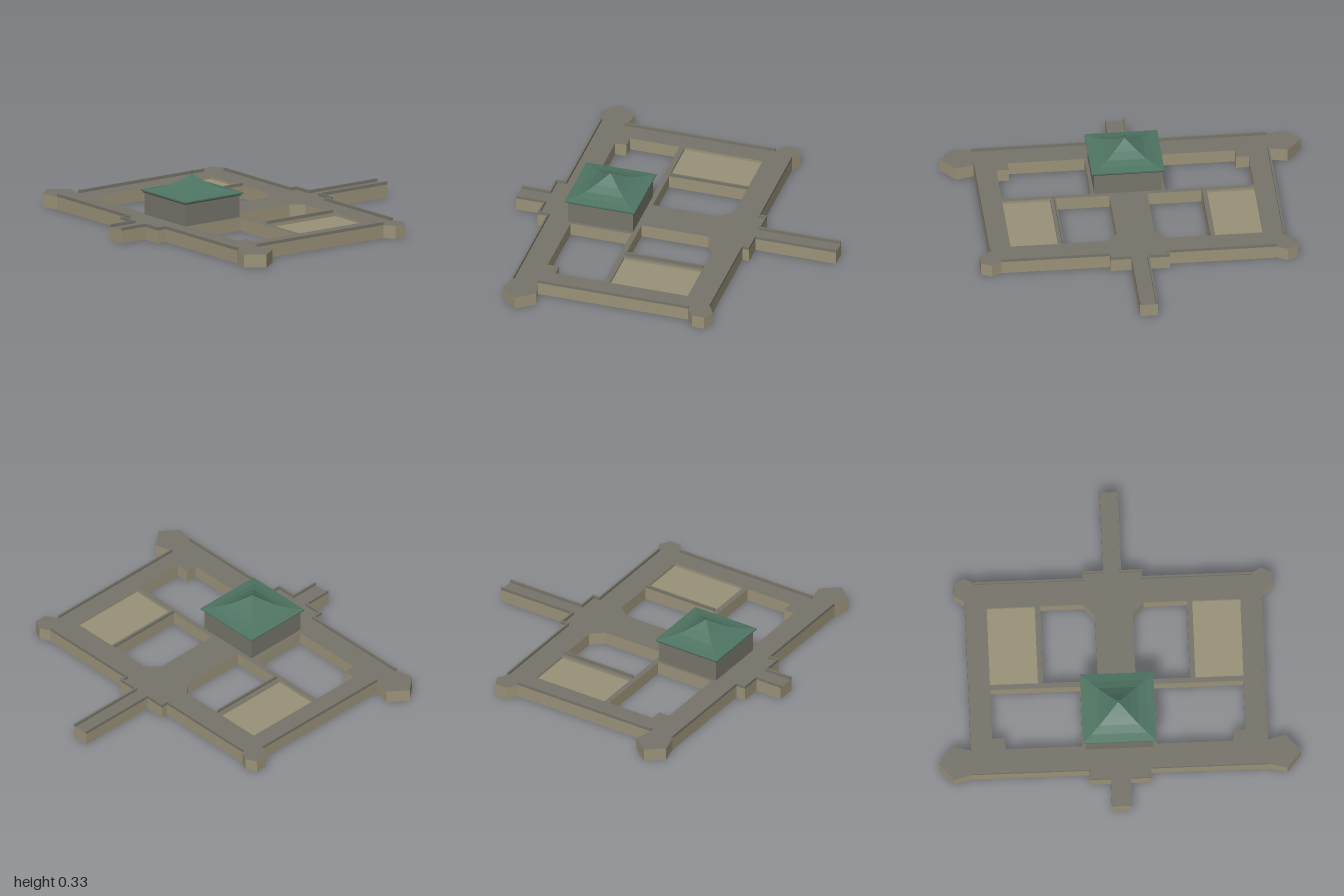
import * as THREE from 'three';

const DECK = 0.073, TOP = 0.09, LIP = 0.01;

export function createModel() {
  const model = new THREE.Group();
  model.name = 'fortressGate';
  const mat = (name, color, side = THREE.FrontSide) => {
    const m = new THREE.MeshStandardMaterial({ color, side });
    m.name = name;
    return m;
  };
  const stone = mat('greyStone', 0x77756a, THREE.DoubleSide);
  const earth = mat('tanWall', 0x9a9279, THREE.DoubleSide);
  const tile = mat('greenTile', 0x4f7563, THREE.DoubleSide);
  const timber = mat('darkTimber', 0x45473f);

  const add = (name, geo, material, x = 0, y = 0, z = 0) => {
    const m = new THREE.Mesh(geo, material);
    m.name = name;
    m.position.set(x, y, z);
    model.add(m);
    return m;
  };
  const box = (name, material, x0, x1, y0, y1, z0, z1) =>
    add(name, new THREE.BoxGeometry(x1 - x0, y1 - y0, z1 - z0), material,
      (x0 + x1) / 2, (y0 + y1) / 2, (z0 + z1) / 2);
  const mirrored = (pts, s) => pts.map(([x, z]) => [x * s, z]);
  const toVec = pts => pts.map(([x, z]) => new THREE.Vector2(x, -z));

  // Vertical sheet along a closed plan outline
  const skirt = (name, pts, y0, y1) => {
    const pos = [];
    pts.forEach(([ax, az], i) => {
      const [bx, bz] = pts[(i + 1) % pts.length];
      pos.push(ax, y0, az, bx, y0, bz, bx, y1, bz, ax, y0, az, bx, y1, bz, ax, y1, az);
    });
    const g = new THREE.BufferGeometry();
    g.setAttribute('position', new THREE.Float32BufferAttribute(pos, 3));
    g.computeVertexNormals();
    add(name, g, earth);
  };

  // Plan of the left half, from the front causeway round to the back one
  const half = [
    [0.055, 0.97], [0.055, 0.81], [0.17, 0.81], [0.17, 0.755], [0.82, 0.755],
    [0.92, 0.78], [1, 0.685], [0.92, 0.585], [0.82, 0.61],
    [0.82, -0.26], [0.88, -0.30], [0.88, -0.37], [0.82, -0.40], [0.765, -0.37],
    [0.165, -0.37], [0.165, -0.41], [0.05, -0.41], [0.05, -0.875],
  ];
  const outline = [...half, ...mirrored(half, -1).reverse()];
  const frontCourt = [[0.205, 0.26], [0.70, 0.26], [0.70, 0.545], [0.63, 0.545], [0.63, 0.61], [0.205, 0.61]];
  const backCourt = [[0.105, 0.23], [0.405, 0.23], [0.405, -0.22], [0.165, -0.22], [0.105, -0.155]];
  const terrace = [[0.435, 0.23], [0.70, 0.23], [0.70, -0.22], [0.435, -0.22]];

  // Walkway deck with courtyards cut out, open below
  const deck = new THREE.Shape(toVec(outline));
  for (const s of [1, -1])
    for (const c of [frontCourt, backCourt, terrace])
      deck.holes.push(new THREE.Path(toVec(mirrored(c, s))));
  add('walkwayDeck', new THREE.ShapeGeometry(deck).rotateX(-Math.PI / 2), stone, 0, DECK, 0);
  skirt('outerWall', outline, 0, DECK);

  for (const s of [1, -1]) {
    const side = s > 0 ? 'left' : 'right';
    skirt(side + 'FrontCourtWall', mirrored(frontCourt, s), 0, DECK);
    skirt(side + 'BackCourtWall', mirrored(backCourt, s), 0, DECK);
    skirt(side + 'TerraceWall', mirrored(terrace, s), 0, DECK);

    // Sunken terrace panel
    const panel = new THREE.PlaneGeometry(0.265, 0.45).rotateX(-Math.PI / 2);
    add(side + 'TerracePanel', panel, earth, s * 0.5675, 0.058, 0.005);

    // Parapets as [x0, x1, z0, z1] on the outer edges, none on the bastions
    const parapets = [
      [0.82 - LIP, 0.82, -0.26, 0.61],
      [0.17, 0.82, 0.755 - LIP, 0.755],
      [0.17 - LIP, 0.17, 0.745, 0.81],
      [0.055, 0.17, 0.81 - LIP, 0.81],
      [0.055 - LIP, 0.055, 0.80, 0.97],
      [0.165, 0.765, -0.37, -0.37 + LIP],
      [0.165 - LIP, 0.165, -0.41, -0.36],
      [0.05, 0.165, -0.41, -0.41 + LIP],
      [0.05 - LIP, 0.05, -0.875, -0.40],
      [0.405, 0.405 + LIP, -0.22, 0.23],
    ];
    for (const [x0, x1, z0, z1] of parapets)
      box(side + 'Parapet', stone, Math.min(s * x0, s * x1), Math.max(s * x0, s * x1), DECK, TOP, z0, z1);
  }

  // Gate pavilion: four walls, open underneath
  const cz = 0.442, w = 0.187, t = 0.012;
  for (const s of [1, -1]) {
    box('pavilionSideWall', stone, s * w - (s > 0 ? t : 0), s * w + (s > 0 ? 0 : t), DECK, 0.2, cz - w, cz + w);
    const z = cz + s * (w - t / 2);
    box('pavilionEndWall', stone, -w + t, w - t, DECK, 0.2, z - t / 2, z + t / 2);
  }
  box('eaveBoard', timber, -0.193, 0.193, 0.197, 0.206, cz - 0.193, cz + 0.193);

  // Concave hipped roof, four flat-sided slopes
  const profile = [[0.193, 0.203], [0.202, 0.206], [0.202, 0.214], [0.155, 0.222], [0.11, 0.236],
    [0.065, 0.262], [0.03, 0.287], [0, 0.31]]
    .map(([r, y]) => new THREE.Vector2(r * Math.SQRT2, y));
  const roof = new THREE.LatheGeometry(profile, 4, Math.PI / 4).toNonIndexed();
  roof.computeVertexNormals();
  add('pavilionRoof', roof, tile, 0, 0, cz);

  // Finial
  add('finialRod', new THREE.CylinderGeometry(0.002, 0.003, 0.03, 8), tile, 0, 0.317, cz);
  add('finialKnob', new THREE.SphereGeometry(0.005, 8, 6), tile, 0, 0.328, cz);

  return model;
}
